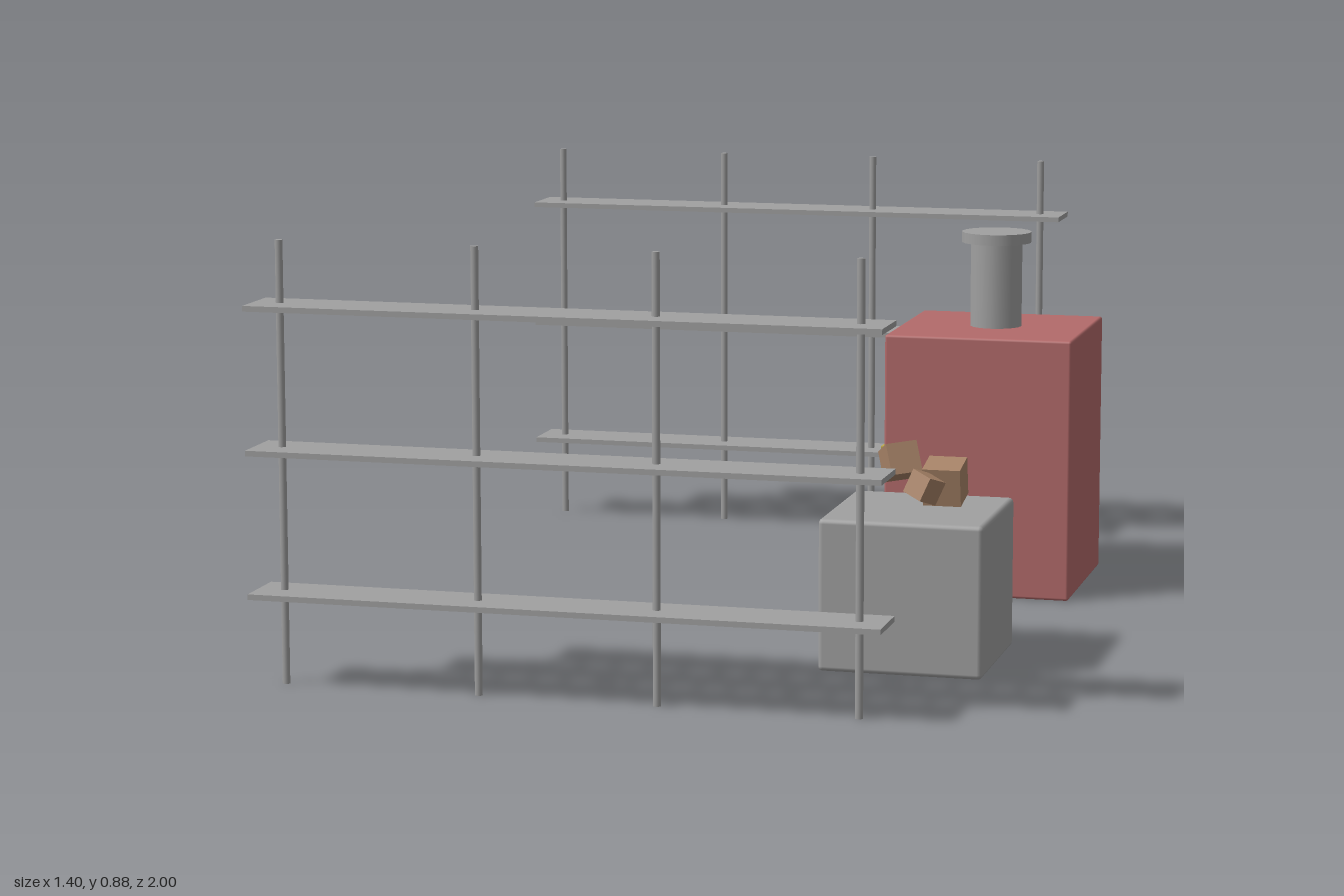
import * as THREE from 'three';
import { RoundedBoxGeometry } from 'three/addons/geometries/RoundedBoxGeometry.js';

export function createModel() {
  const material = (name, color, flatShading = false) => {
    const m = new THREE.MeshStandardMaterial({ color, flatShading });
    m.name = name;
    return m;
  };
  const grey = material('grey metal', 0xa0a0a0);
  const red = material('dusty red', 0xb36a6a);
  const brown = material('brown', 0xa88468);
  const yellow = material('mustard yellow', 0xc0ad48);

  const model = new THREE.Group();
  const add = (parent, name, geometry, mat, x, y, z) => {
    const mesh = new THREE.Mesh(geometry, mat);
    mesh.name = name;
    mesh.position.set(x, y, z);
    parent.add(mesh);
    return mesh;
  };

  // Two matching racks: three long shelves threaded on four posts
  const shelfGeometry = new THREE.BoxGeometry(1.257, 0.011, 0.125);
  const postGeometry = new THREE.CylinderGeometry(0.008, 0.008, 0.875, 8);
  for (const side of [-1, 1]) {
    const rack = new THREE.Group();
    rack.name = side > 0 ? 'frontRack' : 'backRack';
    rack.position.z = side * 0.9375;
    for (const y of [0.182, 0.465, 0.747]) add(rack, 'shelf', shelfGeometry, grey, -0.0765, y, 0);
    for (const x of [-0.652, -0.256, 0.102, 0.498]) add(rack, 'post', postGeometry, grey, x, 0.4375, 0);
    model.add(rack);
  }

  // Furnace with a band on its side, a chimney and a cap
  const furnace = new THREE.Group();
  furnace.name = 'furnace';
  add(furnace, 'furnaceBody', new RoundedBoxGeometry(0.407, 0.565, 0.406, 2, 0.006), red, 0.4965, 0.2825, -0.408);
  add(furnace, 'furnaceBand', new THREE.BoxGeometry(0.012, 0.073, 0.412), yellow, 0.293, 0.285, -0.408);
  add(furnace, 'chimney', new THREE.CylinderGeometry(0.057, 0.057, 0.19, 16), grey, 0.497, 0.658, -0.41);
  add(furnace, 'chimneyCap', new THREE.CylinderGeometry(0.076, 0.076, 0.023, 20), grey, 0.497, 0.7605, -0.41);
  model.add(furnace);

  // Stone block with three tumbled cubes on it
  add(model, 'block', new RoundedBoxGeometry(0.332, 0.308, 0.332, 2, 0.01), grey, 0.497, 0.154, 0.41);
  const cubes = [
    [0.065, 0.444, 0.387, 0.33, -0.4, 0.48, 0.1],
    [0.077, 0.548, 0.36, 0.385, 0.2, 0, 0],
    [0.05, 0.522, 0.361, 0.464, -0.3, -0.5, -0.3],
  ];
  for (const [size, x, y, z, rx, ry, rz] of cubes) {
    const cube = add(model, 'cube', new THREE.BoxGeometry(size, size, size), brown, x, y, z);
    cube.rotation.set(rx, ry, rz, 'YXZ');
  }

  return model;
}
